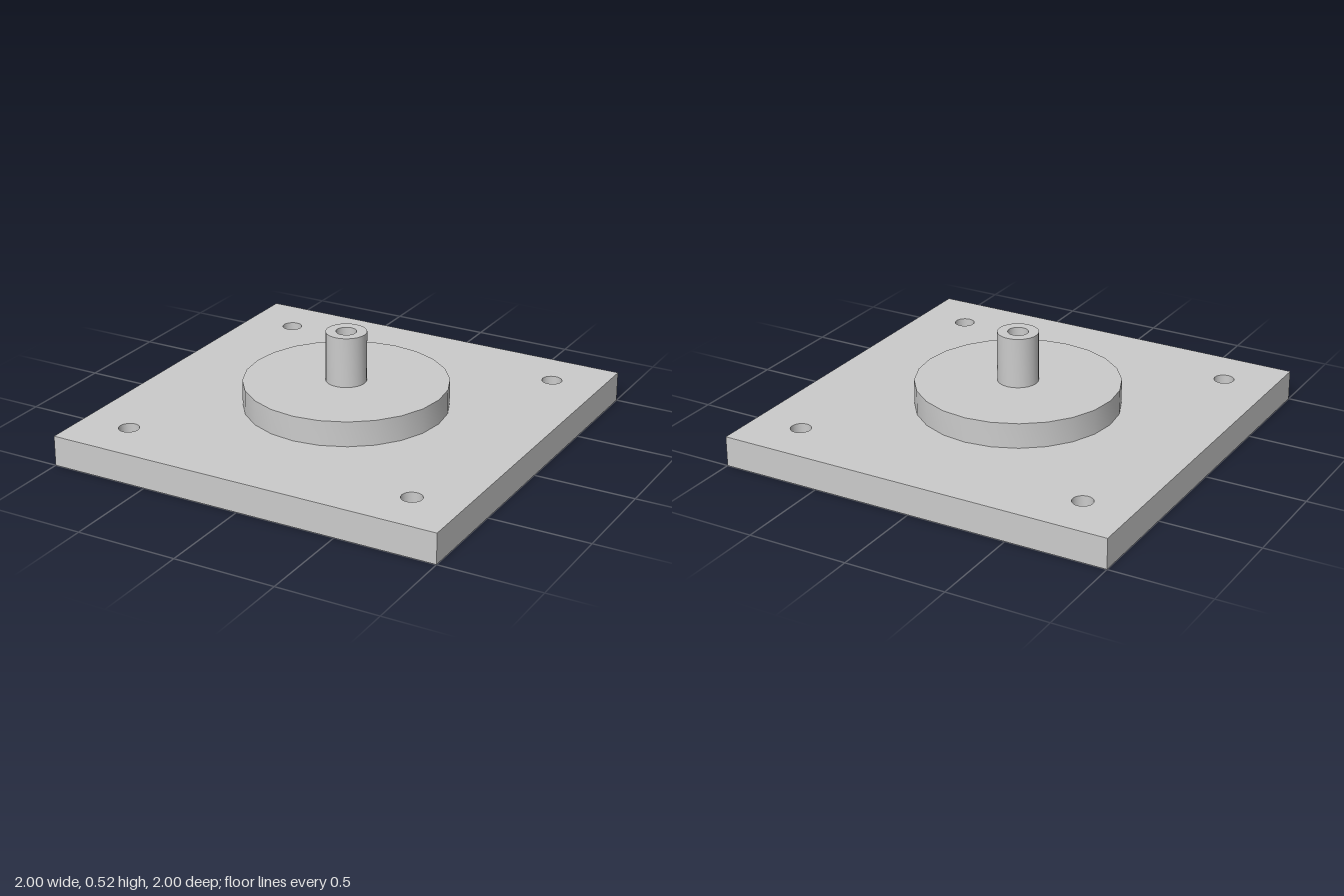
import * as THREE from 'three';
import { toCreasedNormals } from 'three/addons/utils/BufferGeometryUtils.js';

const SIDES = 24;
const PLATE_TOP = 0.15;
const DISC_TOP = 0.275;
const POST_TOP = 0.525;
const BORE = 0.05;

const material = new THREE.MeshStandardMaterial({ color: 0xcccccc });

function part(name, geometry) {
  const mesh = new THREE.Mesh(toCreasedNormals(geometry, Math.PI / 6), material);
  mesh.name = name;
  return mesh;
}

function circleHole(x, y, r) {
  const points = [];
  for (let i = 0; i < SIDES; i++) {
    const a = (-i / SIDES) * Math.PI * 2;
    points.push(new THREE.Vector2(x + r * Math.cos(a), y + r * Math.sin(a)));
  }
  return new THREE.Path(points);
}

// Ring-shaped profile turned around the vertical axis
function turned(name, pairs) {
  const profile = pairs.map(([r, y]) => new THREE.Vector2(r, y));
  return part(name, new THREE.LatheGeometry(profile, SIDES));
}

export function createModel() {
  const group = new THREE.Group();
  group.name = 'mountingFlange';

  // Square base plate with four corner holes and a central bore
  const square = new THREE.Shape([[-1, -1], [1, -1], [1, 1], [-1, 1]].map(([x, y]) => new THREE.Vector2(x, y)));
  square.holes.push(circleHole(0, 0, BORE));
  for (const x of [-0.75, 0.75]) {
    for (const y of [-0.75, 0.75]) square.holes.push(circleHole(x, y, 0.05));
  }
  const plate = new THREE.ExtrudeGeometry(square, { depth: PLATE_TOP, bevelEnabled: false });
  plate.rotateX(-Math.PI / 2);
  group.add(part('basePlate', plate));

  // Raised disc, open underneath where it meets the plate
  group.add(turned('raisedDisc', [[0.5, PLATE_TOP], [0.5, DISC_TOP], [0.1, DISC_TOP]]));

  // Hollow post, with its bore running down to the plate
  group.add(turned('hollowPost', [[0.1, DISC_TOP], [0.1, POST_TOP], [BORE, POST_TOP], [BORE, PLATE_TOP]]));

  return group;
}
